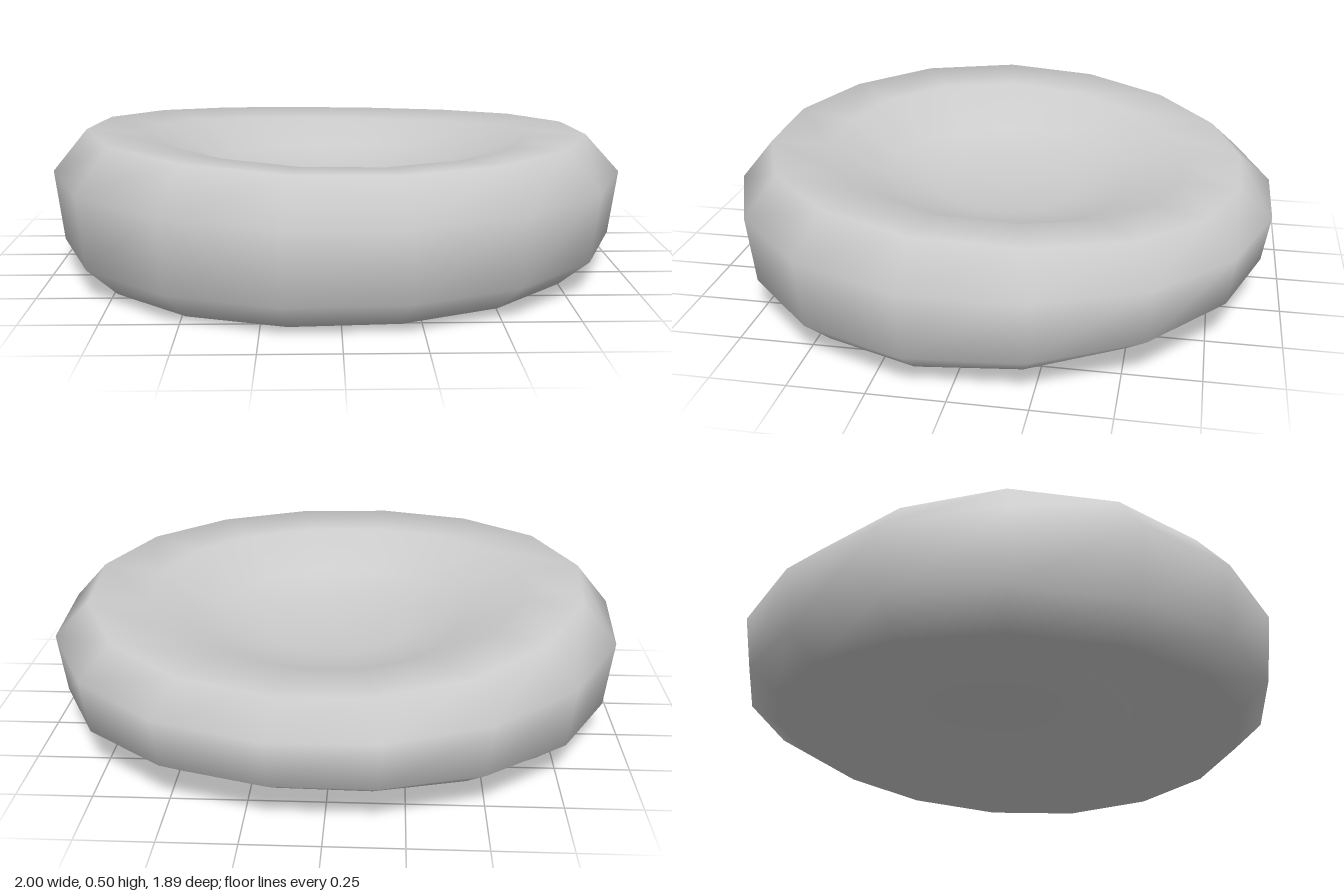
import * as THREE from 'three';

// Slightly irregular 16-sided outline, as [x, z], clockwise from above
const OUTLINE = [
  [0.18, -0.95], [0.53, -0.83], [0.81, -0.59], [0.98, -0.24],
  [1.0, 0.15], [0.85, 0.51], [0.57, 0.78], [0.21, 0.93],
  [-0.19, 0.94], [-0.56, 0.8], [-0.85, 0.53], [-1.0, 0.15],
  [-0.97, -0.24], [-0.79, -0.59], [-0.51, -0.83], [-0.17, -0.95],
];

// Rings from the top dimple round the rim to the bottom dimple:
// [fraction of the outline, height as a fraction of the half thickness]
const RINGS = [
  [0.25, 0.23], [0.46, 0.42], [0.67, 0.92], [0.88, 1], [1, 0.41],
  [0.973, -0.6], [0.868, -1], [0.66, -0.94], [0.46, -0.56], [0.25, -0.36],
];
const MID = 0.262;

// The disc is thickest towards the front and thins out at the back
const halfThickness = (x, z) => 0.23 - 0.014 * x + 0.0446 * z - 0.0465 * z * z;

function discGeometry() {
  const n = OUTLINE.length;
  const positions = [];
  const index = [];
  for (const [r, t] of RINGS) {
    for (const [x, z] of OUTLINE) {
      const h = halfThickness(x * 0.88, z * 0.88);
      positions.push(x * r, MID + t * h, z * r);
    }
  }
  // Centres of the two dimples
  const top = RINGS.length * n;
  const bottom = top + 1;
  positions.push(0, MID + 0.04, 0, 0, MID - 0.065, 0);

  const last = (RINGS.length - 1) * n;
  for (let i = 0; i < n; i++) {
    const k = (i + 1) % n;
    index.push(top, k, i, bottom, last + i, last + k);
    for (let a = 0; a < last; a += n) {
      const b = a + n;
      index.push(a + i, b + k, b + i, a + i, a + k, b + k);
    }
  }
  const geometry = new THREE.BufferGeometry();
  geometry.setAttribute('position', new THREE.Float32BufferAttribute(positions, 3));
  geometry.setIndex(index);
  geometry.computeVertexNormals();
  return geometry;
}

export function createModel() {
  const group = new THREE.Group();
  group.name = 'dimpledDisc';
  const disc = new THREE.Mesh(
    discGeometry(),
    new THREE.MeshStandardMaterial({ color: 0xcccccc })
  );
  disc.name = 'discBody';
  group.add(disc);
  return group;
}
